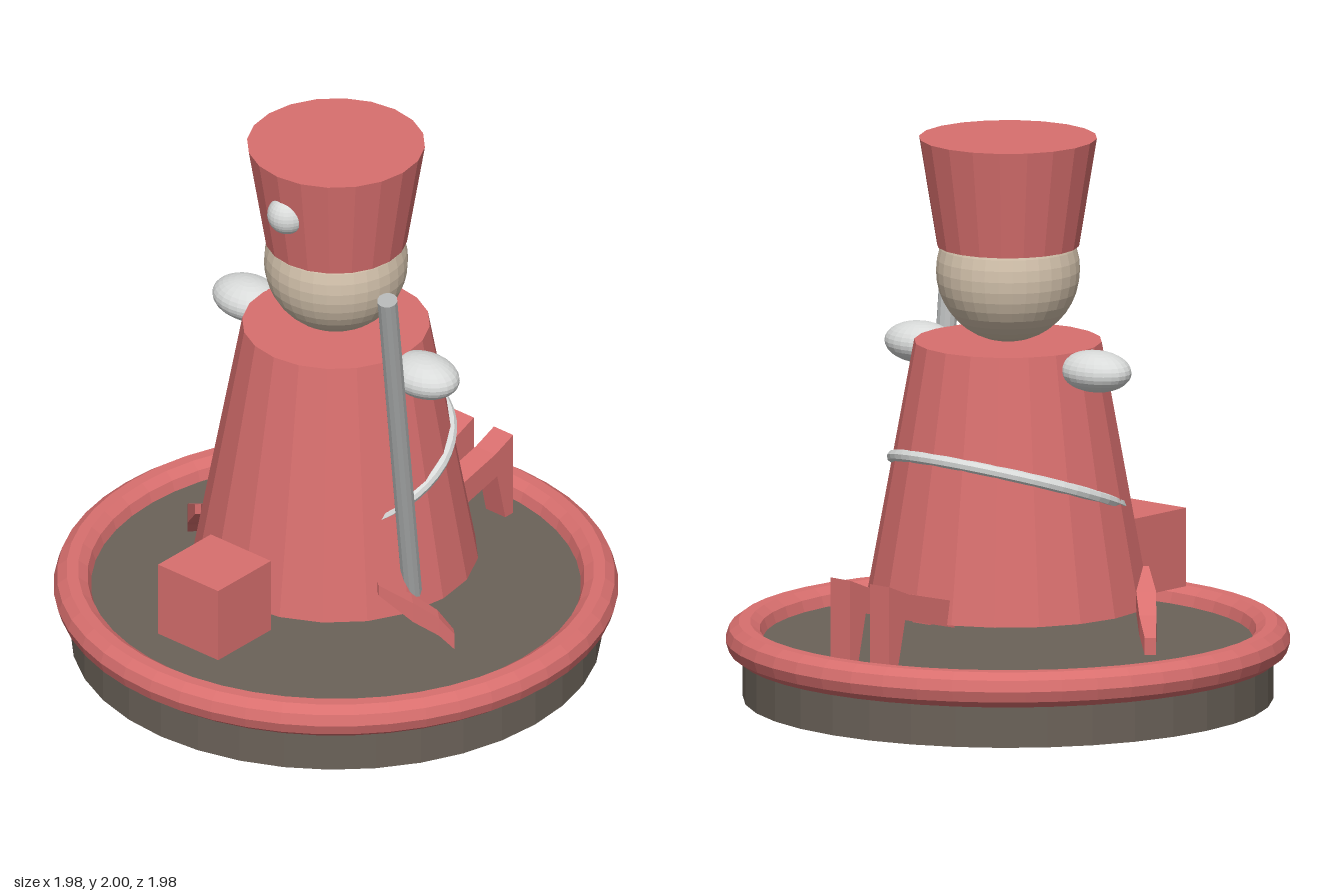
import * as THREE from 'three';
import { ConvexGeometry } from 'three/addons/geometries/ConvexGeometry.js';

const mat = (name, color) => {
  const m = new THREE.MeshStandardMaterial({ color, flatShading: true });
  m.name = name;
  return m;
};

export function createModel() {
  const red = mat('red', 0xd86f6e);
  const brown = mat('brown', 0x6b6259);
  const skin = mat('skin', 0xd3c2ac);
  const white = mat('white', 0xd9dbda);
  const grey = mat('grey', 0xb2b4b4);

  const model = new THREE.Group();
  model.name = 'toySoldier';
  const add = (name, geometry, material, x = 0, y = 0, z = 0) => {
    const mesh = new THREE.Mesh(geometry, material);
    mesh.name = name;
    mesh.position.set(x, y, z);
    model.add(mesh);
    return mesh;
  };

  // Round stand with a raised rim
  add('stand', new THREE.CylinderGeometry(0.93, 0.93, 0.21, 36), brown, 0, 0.105, 0);
  add('rim', new THREE.TorusGeometry(0.925, 0.066, 10, 48), red, 0, 0.21, 0).rotation.x = Math.PI / 2;

  // Soldier: coat, head, tall hat and pompom
  add('coat', new THREE.CylinderGeometry(0.33, 0.5, 0.93, 20), red, 0, 0.81, 0);
  add('head', new THREE.SphereGeometry(0.253, 32, 20), skin, 0, 1.527, 0);
  add('hat', new THREE.CylinderGeometry(0.313, 0.25, 0.385, 20), red, 0, 1.8075, 0);
  add('pompom', new THREE.SphereGeometry(0.07, 24, 16), white, 0, 1.825, 0.26);

  // Tilted belt: its front half sinks into the coat
  add('belt', new THREE.TorusGeometry(0.413, 0.022, 8, 48), white, 0, 0.77, 0)
    .rotation.x = Math.PI / 2 + THREE.MathUtils.degToRad(19);

  // Staff leaning outward on the left
  const low = new THREE.Vector3(0.43, 0.315, 0.078);
  const high = new THREE.Vector3(0.648, 1.815, 0.465);
  const axis = high.clone().sub(low);
  const staff = add('staff', new THREE.CylinderGeometry(0.036, 0.036, axis.length(), 12), grey);
  staff.position.copy(low).add(high).multiplyScalar(0.5);
  staff.quaternion.setFromUnitVectors(new THREE.Vector3(0, 1, 0), axis.normalize());

  // Small creature under the coat: block head and trunk
  add('creatureHead', new THREE.BoxGeometry(0.28, 0.28, 0.28), red, 0, 0.44, 0.645);
  add('creatureTrunk', new THREE.BoxGeometry(0.08, 0.15, 0.97), red, 0, 0.405, 0.025);

  // Hind leg side profile, as (distance behind centre, height)
  const hind = new THREE.Shape([
    [0.44, 0.33], [0.7, 0.395], [0.745, 0.2], [0.785, 0.2],
    [0.785, 0.525], [0.69, 0.487], [0.44, 0.425],
  ].map(([d, y]) => new THREE.Vector2(d, y)));
  const hindGeometry = new THREE.ExtrudeGeometry(hind, { depth: 0.09, bevelEnabled: false });
  hindGeometry.translate(0, 0, -0.045);
  hindGeometry.rotateY(Math.PI / 2);

  // Front leg cross-sections: centre x, y, z, half width, half height
  const sections = [
    [0.42, 0.465, 0.255, 0.01, 0.02],
    [0.5, 0.38, 0.165, 0.035, 0.038],
    [0.565, 0.315, 0.1, 0.03, 0.035],
    [0.608, 0.25, 0.065, 0.02, 0.03],
  ];
  const corners = ([x, y, z, w, h], side) => [[1, 1], [1, -1], [-1, -1], [-1, 1]].map(
    ([a, b]) => new THREE.Vector3(side * (x + a * w * 0.73), y + b * h, z + a * w * 0.68));

  for (const side of [1, -1]) {
    const label = side > 0 ? 'left' : 'right';
    add(label + 'Arm', new THREE.SphereGeometry(1, 24, 16), white, side * 0.41, 1.217, 0)
      .scale.set(0.14, 0.073, 0.105);
    add(label + 'HindLeg', hindGeometry, red, side * 0.092, 0, 0);
    for (let i = 0; i < sections.length - 1; i++) {
      add(label + 'FrontLeg', new ConvexGeometry(
        [...corners(sections[i], side), ...corners(sections[i + 1], side)]), red);
    }
  }
  return model;
}
